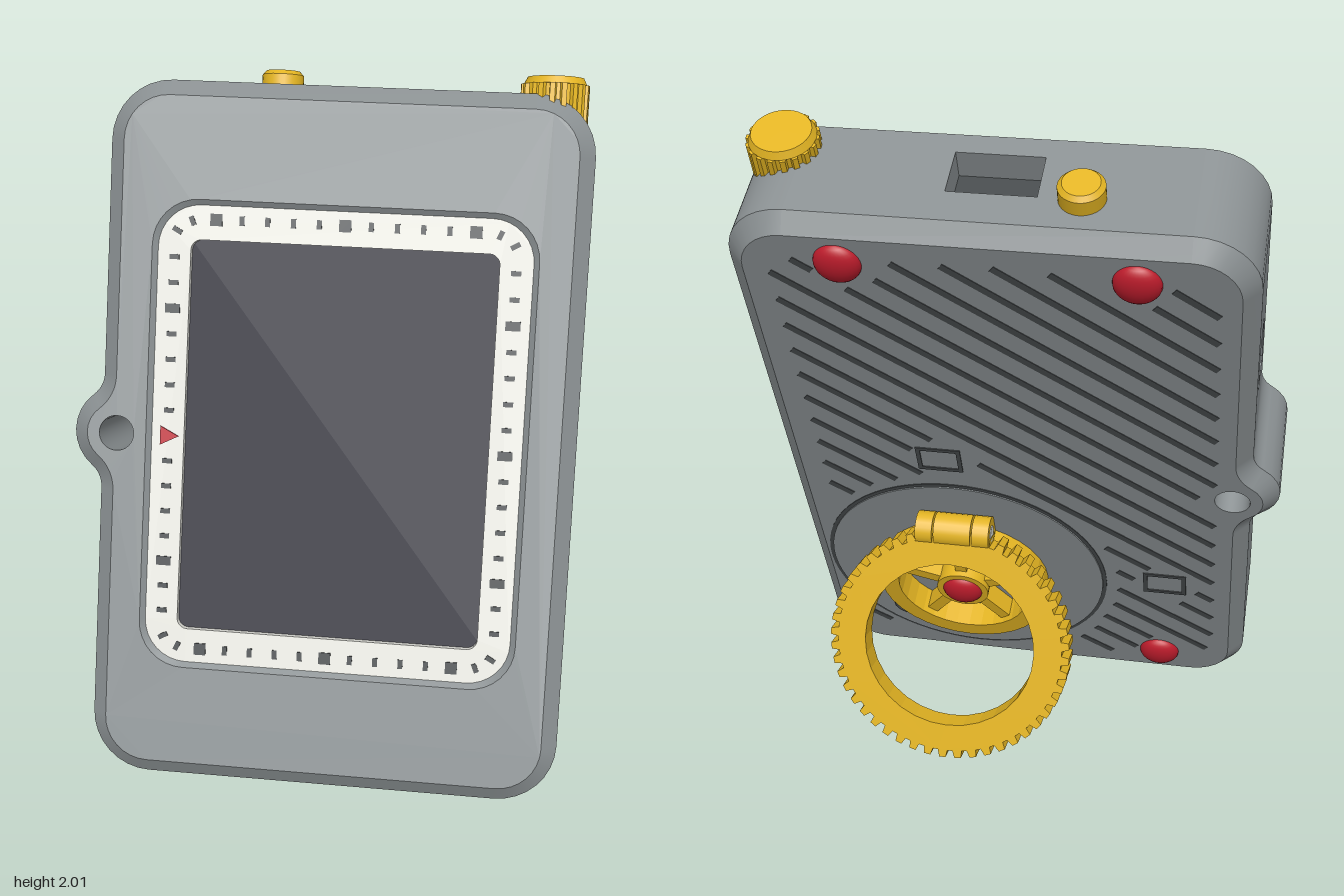
import * as THREE from 'three';

const mat = (name, color) => Object.assign(new THREE.MeshStandardMaterial({ color }), { name });
const PI = Math.PI, T = 0.197, HW = 0.675, HH = 0.9985;

// Points along a chain of arcs [cx, cy, radius, start, end]
function arcs(list, n = 8) {
  const pts = [];
  for (const [cx, cy, r, a, b] of list)
    for (let i = 0; i <= n; i++) {
      const t = a + (b - a) * i / n;
      pts.push(new THREE.Vector2(cx + r * Math.cos(t), cy + r * Math.sin(t)));
    }
  return pts;
}
const rrect = (w, h, r, x = 0, y = 0) => arcs([
  [x + w - r, y - h + r, r, -PI / 2, 0], [x + w - r, y + h - r, r, 0, PI / 2],
  [x - w + r, y + h - r, r, PI / 2, PI], [x - w + r, y - h + r, r, PI, PI * 1.5]]);
const circle = (x, y, r) => arcs([[x, y, r, 0, PI * 2]], 32).slice(0, 32);
const rect = (w, h, x = 0, y = 0) => [[-1, -1], [1, -1], [1, 1], [-1, 1]]
  .map(([a, b]) => new THREE.Vector2(x + a * w / 2, y + b * h / 2));

// Case outline with the strap lug on one side, moved inwards by i
function outline(i) {
  const r = 0.17 - i, cx = HW - 0.17, cy = HH - 0.17;
  const fx = -HW - 0.08, fy = 0.165, a = Math.atan2(0.165, 0.13);
  return arcs([
    [cx, -cy, r, -PI / 2, 0], [cx, cy, r, 0, PI / 2], [-cx, cy, r, PI / 2, PI],
    [fx, fy, 0.08 + i, 0, -a], [-0.625, 0, 0.13 - i, PI - a, PI + a], [fx, -fy, 0.08 + i, a, 0],
    [-cx, -cy, r, PI, PI * 1.5]]);
}

// Wall between two loops; faces outwards when zb > za, inwards otherwise
function band(A, za, B, zb, skip = []) {
  const n = A.length, pos = [], idx = [];
  A.forEach(p => pos.push(p.x, p.y, za));
  B.forEach(p => pos.push(p.x, p.y, zb));
  for (let i = 0; i < n; i++) {
    if (skip.includes(i)) continue;
    const j = (i + 1) % n;
    idx.push(i, j, n + j, i, n + j, n + i);
  }
  const g = new THREE.BufferGeometry();
  g.setAttribute('position', new THREE.Float32BufferAttribute(pos, 3));
  g.setIndex(idx);
  g.computeVertexNormals();
  return g;
}
function shapeOf(pts, holes = []) {
  const s = new THREE.Shape(pts);
  s.holes = holes.map(h => new THREE.Path(h));
  return s;
}
function cap(pts, holes, z, flip) {
  const g = new THREE.ShapeGeometry(shapeOf(pts, holes)).translate(0, 0, z);
  if (flip) { g.setIndex(Array.from(g.index.array).reverse()); g.computeVertexNormals(); }
  return g;
}
const solid = (pts, holes, depth, z) => new THREE.ExtrudeGeometry(shapeOf(pts, holes),
  { depth, bevelEnabled: false }).translate(0, 0, z);
function gear(teeth, r0, r1) {
  const pts = [];
  for (let i = 0; i < teeth; i++)
    [[0, r1], [0.42, r1], [0.55, r0], [0.9, r0]].forEach(([o, r]) => {
      const a = (i + o) / teeth * PI * 2;
      pts.push(new THREE.Vector2(r * Math.cos(a), r * Math.sin(a)));
    });
  return pts;
}

export function createModel() {
  const grey = mat('caseGrey', 0x8a9092), dark = mat('darkGrey', 0x45494b), white = mat('bezelWhite', 0xe6e6df);
  const navy = mat('screenNavy', 0x0e0e26), yellow = mat('yellow', 0xe3b422), red = mat('red', 0xbe1c2c);
  const root = new THREE.Group(), body = new THREE.Group();
  root.name = 'device'; body.name = 'tiltedBody';
  body.position.set(0.035, 0.981, 0.005);
  body.rotation.x = -0.408;
  root.add(body);
  const add = (name, geo, m, parent = body) => {
    const mesh = new THREE.Mesh(geo, m);
    mesh.name = name;
    parent.add(mesh);
    return mesh;
  };

  // Chamfered case with screen recess and strap hole
  const full = outline(0), inset = outline(0.045), e = T - 0.045;
  const lugHole = circle(-0.625, 0, 0.05), recess = rrect(0.54, 0.67, 0.13), recessLow = rrect(0.525, 0.655, 0.12);
  add('caseSide', band(full, -e, full, e, [17, 26, 62]), grey);
  add('frontChamfer', band(full, e, inset, T), grey);
  add('backChamfer', band(inset, -T, full, -e), grey);
  add('frontFace', cap(inset, [lugHole, recess], T), grey);
  add('backFace', cap(inset, [lugHole], -T, true), grey);
  add('strapHole', band(lugHole, T, lugHole, -T), grey);
  add('recessEdge', band(recess, T, recessLow, T - 0.014), grey);

  // Flat side panels, each with a port: turn, distance, x range, port x, y, w, h
  [['top', 0, HH, -0.505, 0.505, 0, -0.017, 0.23, 0.14],
    ['side', PI / 2, HW, 0.165, 0.8285, 0.42, 0, 0.17, 0.13],
    ['bottom', PI, HH, -0.505, 0.505, 0, 0, 0.285, 0.08]]
    .forEach(([name, turn, dist, x0, x1, px, py, w, h]) => {
      const g = new THREE.Group();
      g.name = name + 'Panel';
      g.rotation.z = turn;
      body.add(g);
      const hole = rect(w, h, px, py), lay = geo => geo.rotateX(-PI / 2).translate(0, dist, 0);
      add(name + 'Wall', lay(cap(rect(x1 - x0, e * 2, (x0 + x1) / 2, 0), [hole], 0)), grey, g);
      const sides = band(hole, 0, hole, -0.08).toNonIndexed();
      sides.computeVertexNormals();
      add(name + 'PortSides', lay(sides), grey, g);
      add(name + 'PortFloor', lay(cap(hole, [], -0.08)), dark, g);
    });

  // Screen and its bezel
  add('screen', cap(rrect(0.45, 0.575, 0.03), [], T - 0.036), navy);
  add('bezel', solid(recessLow, [rrect(0.432, 0.558, 0.03)], 0.028, T - 0.04), white);

  // Scale marks around the bezel
  const zMark = T - 0.011;
  const mark = (x, y, w, h, turn = 0) => {
    const m = add('scaleMark', new THREE.BoxGeometry(w, h, 0.004), dark);
    m.position.set(x, y, zMark);
    m.rotation.z = turn;
  };
  for (const s of [-1, 1]) {
    for (let k = -5; k <= 5; k++) {
      const big = k % 5 === 0;
      mark(k * 0.0725, s * 0.615, big ? 0.034 : 0.014, big ? 0.034 : 0.026);
    }
    for (let k = -7; k <= 7; k++) {
      const big = k % 5 === 0;
      if (s < 0 && k === 0) continue;
      mark(s * 0.478, k * 0.0725, big ? 0.042 : 0.028, big ? 0.026 : 0.014);
    }
    for (const q of [-1, 1]) {
      mark(s * 0.472, q * 0.582, 0.028, 0.014, s * q * 0.5);
      mark(s * 0.43, q * 0.61, 0.014, 0.026, -s * q * 0.4);
    }
  }
  const tri = [[-0.5, -0.027], [-0.447, 0], [-0.5, 0.027]].map(p => new THREE.Vector2(...p));
  add('pointer', solid(tri, [], 0.006, zMark - 0.002), red);

  // Knurled knob and push button on top
  const knob = new THREE.Group();
  knob.name = 'knob';
  knob.position.set(0.555, 0.92, 0.072);
  body.add(knob);
  add('knobGrip', solid(gear(18, 0.083, 0.095), [], 0.11, 0).rotateX(-PI / 2), yellow, knob);
  add('knobTop', new THREE.CylinderGeometry(0.078, 0.088, 0.02, 36).translate(0, 0.12, 0), yellow, knob);
  add('button', new THREE.CylinderGeometry(0.06, 0.06, 0.06, 32).translate(-0.225, 1.01, -0.048), yellow);
  add('buttonTop', new THREE.CylinderGeometry(0.048, 0.06, 0.012, 32).translate(-0.225, 1.046, -0.048), yellow);

  // Red domed feet
  const CX = 0.185, CY = -0.475;
  [[0.375, 0.87, -T], [-0.375, 0.87, -T], [-0.41, -0.86, -T], [CX, CY, -0.275]].forEach(([x, y, z]) =>
    add('foot', new THREE.SphereGeometry(0.062, 24, 16).scale(1, 1, 0.55), red).position.set(x, y, z));

  // Round back plate with a screw recess
  add('backPlate', new THREE.CylinderGeometry(0.425, 0.425, 0.008, 64).rotateX(PI / 2).translate(CX, CY, -T - 0.002), grey);
  add('backPlateGap', new THREE.CylinderGeometry(0.437, 0.437, 0.004, 64).rotateX(PI / 2).translate(CX, CY, -T), dark);
  add('screwRing', new THREE.TorusGeometry(0.04, 0.007, 8, 24).translate(CX + 0.22, CY - 0.25, -T - 0.006), dark);
  add('screw', new THREE.CylinderGeometry(0.022, 0.022, 0.004, 16).rotateX(PI / 2).translate(CX + 0.22, CY - 0.25, -T - 0.007), dark);

  // Small frames on the back
  const frames = [[0.21, 0.08], [-0.43, -0.46]];
  frames.forEach(([x, y]) =>
    add('backFrame', solid(rect(0.13, 0.1, x, y), [rect(0.105, 0.075, x, y)], 0.004, -T - 0.003), dark));

  // Diagonal grooves, cut short around the other back parts
  const dir = new THREE.Vector2(-0.8, -0.6), nor = new THREE.Vector2(-0.6, 0.8);
  const clear = (x, y) => Math.abs(x) < 0.57 && Math.abs(y) < 0.89 && Math.abs(x) + Math.abs(y) < 1.38 &&
    Math.hypot(x - CX, y - CY) > 0.47 && frames.every(f => Math.hypot(x - f[0], y - f[1]) > 0.1) &&
    [[0.375, 0.87], [-0.375, 0.87], [-0.41, -0.86]].every(f => Math.hypot(x - f[0], y - f[1]) > 0.09) &&
    Math.hypot(x + 0.625, y) > 0.1;
  for (let k = -13; k <= 13; k++) {
    let start = null;
    for (let t = -1.3; t <= 1.32; t += 0.02) {
      const ok = t < 1.3 && clear(dir.x * t + nor.x * k * 0.08, dir.y * t + nor.y * k * 0.08);
      if (ok && start === null) start = t;
      if (!ok && start !== null) {
        const len = t - start, mid = (t + start) / 2;
        if (len > 0.06) {
          const m = add('groove', new THREE.BoxGeometry(len, 0.02, 0.004), dark);
          m.position.set(dir.x * mid + nor.x * k * 0.08, dir.y * mid + nor.y * k * 0.08, -T);
          m.rotation.z = Math.atan2(0.6, 0.8);
        }
        start = null;
      }
    }
  }

  // Yellow spoked hub that carries the stand
  const hub = new THREE.Group();
  hub.name = 'standHub';
  hub.position.set(CX, CY, -0.285);
  body.add(hub);
  add('hubRim', solid(circle(0, 0, 0.255), [circle(0, 0, 0.2)], 0.085, 0), yellow, hub);
  add('hubCentre', new THREE.CylinderGeometry(0.08, 0.08, 0.075, 32).rotateX(PI / 2).translate(0, 0, 0.04), yellow, hub);
  for (let i = 0; i < 5; i++)
    add('spoke', new THREE.BoxGeometry(0.16, 0.035, 0.06).translate(0.135, 0, 0.05), yellow, hub)
      .rotation.z = PI / 2 + i * PI * 0.4;

  // Hinge knuckles and pin
  const hinge = new THREE.Group();
  hinge.name = 'hinge';
  hinge.position.set(CX, -0.195, -0.25);
  body.add(hinge);
  for (const s of [-1, 1]) {
    add('knuckle', new THREE.CylinderGeometry(0.05, 0.05, 0.05, 20).rotateZ(PI / 2).translate(s * 0.085, 0, 0), yellow, hinge);
    add('knuckleBase', new THREE.BoxGeometry(0.05, 0.08, 0.075).translate(s * 0.085, -0.03, 0.01), yellow, hinge);
  }
  add('hingePin', new THREE.CylinderGeometry(0.024, 0.024, 0.226, 12).rotateZ(PI / 2), white, hinge);

  // Toothed ring swung out as the stand
  const stand = new THREE.Group();
  stand.name = 'standRing';
  stand.rotation.x = 0.648;
  hinge.add(stand);
  add('toothedRing', solid(gear(48, 0.342, 0.365), [circle(0, 0, 0.258)], 0.075, -0.0375).translate(0, -0.355, 0), yellow, stand);
  add('ringKnuckle', new THREE.CylinderGeometry(0.05, 0.05, 0.11, 20).rotateZ(PI / 2), yellow, stand);
  return root;
}
